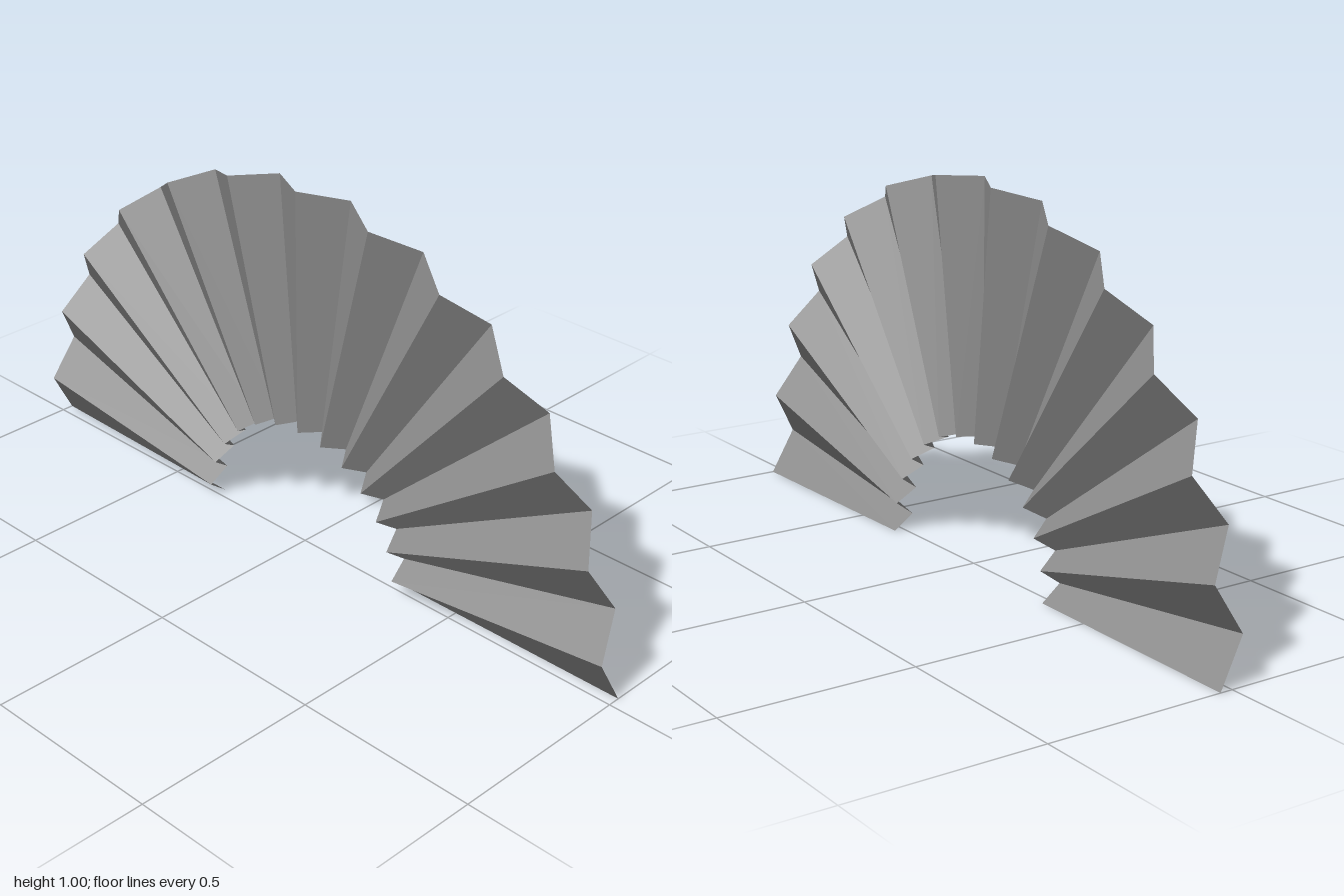
import * as THREE from 'three';

const PLEATS = 26;
const INNER = { radius: 0.335, depth: 0.027 };
const OUTER = { radius: 1, depth: 0.033 };

// Point on fold line i: even folds lie to the back, odd folds to the front
function foldPoint(i, { radius, depth }) {
  const a = (i / PLEATS) * Math.PI;
  return new THREE.Vector3(radius * Math.cos(a), radius * Math.sin(a), i % 2 ? depth : -depth);
}

// Half-ring of paper folded into radial accordion pleats, one even normal per pleat
function pleatedGeometry() {
  const positions = [];
  const normals = [];
  for (let i = 0; i < PLEATS; i++) {
    const a = foldPoint(i, INNER);
    const b = foldPoint(i, OUTER);
    const c = foldPoint(i + 1, OUTER);
    const d = foldPoint(i + 1, INNER);
    const normal = c.clone().sub(a).cross(d.clone().sub(b)).normalize();
    for (const p of [a, b, c, a, c, d]) {
      positions.push(...p);
      normals.push(...normal);
    }
  }
  const geometry = new THREE.BufferGeometry();
  geometry.setAttribute('position', new THREE.Float32BufferAttribute(positions, 3));
  geometry.setAttribute('normal', new THREE.Float32BufferAttribute(normals, 3));
  return geometry;
}

export function createModel() {
  const group = new THREE.Group();
  group.name = 'foldingFan';
  const material = new THREE.MeshStandardMaterial({ color: 0x8c8c8c, side: THREE.DoubleSide });
  const leaf = new THREE.Mesh(pleatedGeometry(), material);
  leaf.name = 'pleatedLeaf';
  group.add(leaf);
  return group;
}
